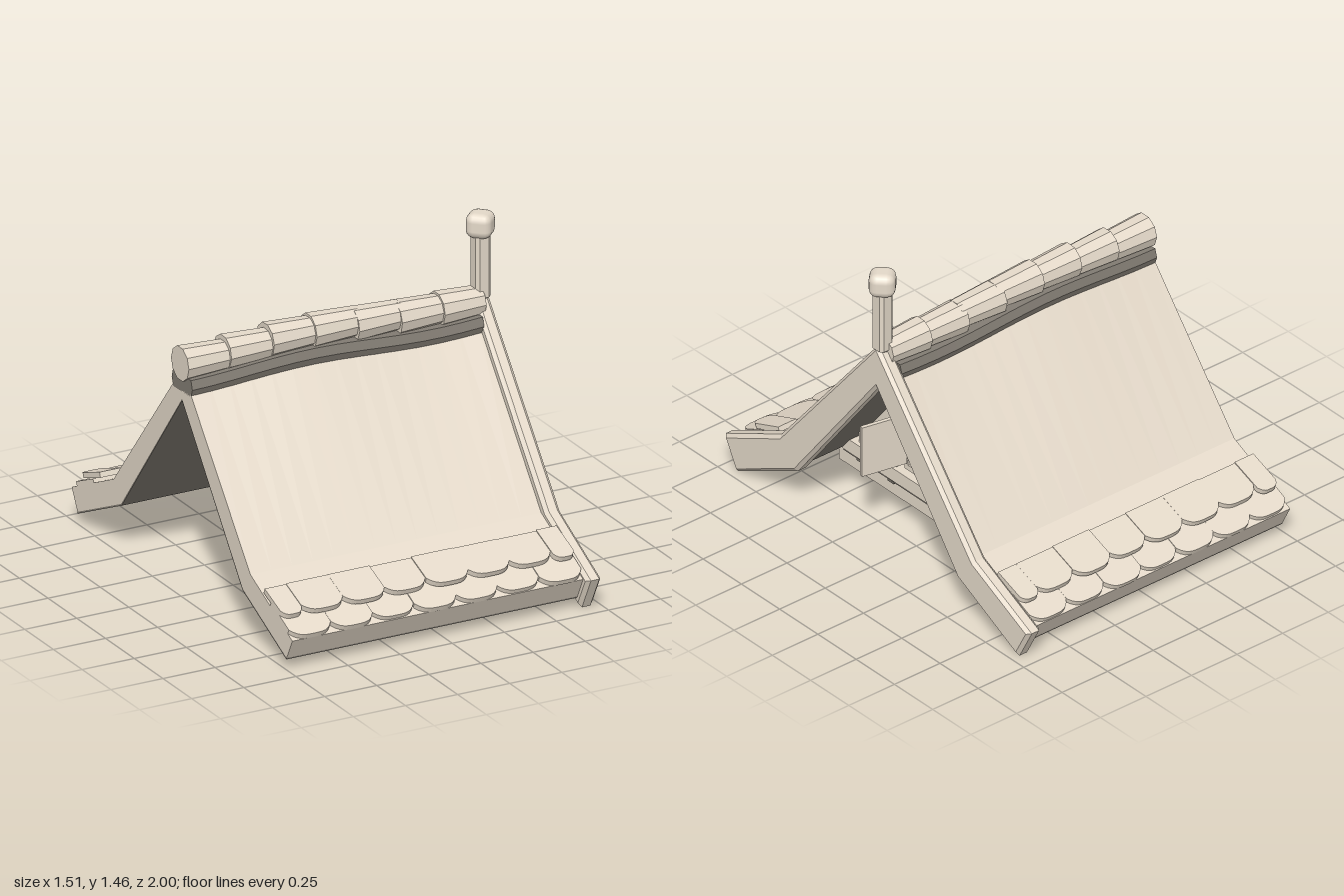
import * as THREE from 'three';
import { RoundedBoxGeometry } from 'three/addons/geometries/RoundedBoxGeometry.js';

const pale = new THREE.MeshStandardMaterial({ color: 0xe4d9c9 });
pale.name = 'paleWood';
const dark = new THREE.MeshStandardMaterial({ color: 0x827c73 });
dark.name = 'darkWood';

const X0 = -0.745, X1 = 0.655; // roof ends
const wave = (x) => 0.014 * Math.cos((x + 0.17) * 5.2); // gentle sag of the ridge

export function createModel() {
  const root = new THREE.Group();
  root.name = 'gabledRoof';

  const add = (name, geo, parent = root, material = pale) => {
    const mesh = new THREE.Mesh(geo, material);
    mesh.name = name;
    parent.add(mesh);
    return mesh;
  };
  const group = (name) => {
    const g = new THREE.Group();
    g.name = name;
    root.add(g);
    return g;
  };
  // box given by its extents
  const box = (name, x0, x1, y0, y1, z0, z1, parent, material) => {
    const geo = new THREE.BoxGeometry(x1 - x0, y1 - y0, z1 - z0);
    geo.translate((x0 + x1) / 2, (y0 + y1) / 2, (z0 + z1) / 2);
    return add(name, geo, parent, material);
  };
  // sections are [z, y] points, extruded along x
  const section = (pts) => new THREE.Shape(pts.map(([z, y]) => new THREE.Vector2(z, y)));
  const alongX = (shape, x0, x1, opts = {}) => {
    const b = opts.bevel || 0;
    const geo = new THREE.ExtrudeGeometry(shape, {
      depth: x1 - x0 - 2 * b, steps: opts.steps || 1, bevelEnabled: b > 0,
      bevelThickness: b, bevelSize: b, bevelOffset: -b, bevelSegments: 1,
    });
    geo.translate(0, 0, x0 + b);
    geo.rotateY(Math.PI / 2);
    return geo;
  };
  // mirrored band between two half profiles
  const chevron = (outer, inner) => {
    const mirror = (half) => half.slice(1).map(([z, y]) => [-z, y]);
    return section([...outer, ...inner.slice().reverse(), ...mirror(inner), ...mirror(outer).reverse()]);
  };
  const sag = (geo, y0, y1) => {
    const p = geo.attributes.position;
    for (let i = 0; i < p.count; i++) {
      const k = THREE.MathUtils.clamp((p.getY(i) - y0) / (y1 - y0), 0, 1);
      p.setY(i, p.getY(i) + wave(p.getX(i)) * k);
    }
    geo.computeVertexNormals();
    return geo;
  };

  // Roof slab with flared eaves, lined with dark boards below
  const top = [[0, 1.05], [0.595, 0.315], [0.96, 0.145]];
  const under = [[0, 0.91], [0.53, 0.225], [0.91, 0.05]];
  const lining = [[0, 0.902], [0.527, 0.218], [0.908, 0.043]];
  add('roofSlab', sag(alongX(chevron(top, under), X0, X1, { steps: 14 }), 0.3, 1));
  add('roofLining', sag(alongX(chevron(under, lining), X0, X1, { steps: 14 }), 0.3, 1), root, dark);

  // Gable frame and its finial
  const frame = chevron(
    [[0, 1.1], [0.635, 0.33], [1.0, 0.15]],
    [[0, 0.885], [0.525, 0.2], [0.92, 0.0]]);
  add('gableFrame', alongX(frame, 0.65, 0.722, { bevel: 0.016 }));

  const finial = group('finial');
  finial.position.set(0.686, 0, 0);
  const post = new THREE.Shape();
  const c = 0.036, e = 0.022;
  [[c, -e], [c, e], [e, c], [-e, c], [-c, e], [-c, -e], [-e, -c], [e, -c]]
    .forEach(([x, y], i) => (i ? post.lineTo(x, y) : post.moveTo(x, y)));
  const postGeo = new THREE.ExtrudeGeometry(post, { depth: 0.3, bevelEnabled: false });
  postGeo.rotateX(-Math.PI / 2);
  postGeo.translate(0, 1.08, 0);
  add('finialPost', postGeo, finial);
  const tip = new THREE.CylinderGeometry(0.037, 0.004, 0.04, 8);
  tip.translate(0, 1.06, 0);
  add('finialTip', tip, finial);
  const knob = add('finialKnob', new RoundedBoxGeometry(0.114, 0.112, 0.114, 2, 0.037), finial);
  knob.position.y = 1.406;
  knob.rotation.y = Math.PI / 4;

  // Dark ridge beam and overlapping ridge tiles
  const beam = section([[0.078, 1.022], [-0.078, 1.022], [-0.09, 0.982], [-0.076, 0.943], [0.076, 0.943], [0.09, 0.982]]);
  add('ridgeBeam', sag(alongX(beam, X0, X1, { steps: 14 }), 0, 0.5), root, dark);
  const ridge = group('ridgeTiles');
  for (let i = 0; i < 7; i++) {
    const len = i < 6 ? 0.225 : 0.205;
    const geo = new THREE.CylinderGeometry(0.078, 0.066, len, 10).toNonIndexed();
    geo.computeVertexNormals();
    geo.rotateZ(Math.PI / 2);
    const x = -0.755 + i * 0.205 + len / 2;
    const tile = add('ridgeTile', geo, ridge);
    tile.position.set(x, 1.073 + wave(x - 0.05), 0);
    tile.rotation.x = 0.08 * Math.sin(i * 2.1);
  }

  // Scalloped eave tiles, two rows on each side
  const scallop = (w, len, dip) => {
    const s = new THREE.Shape();
    s.moveTo(-w / 2, 0);
    s.lineTo(-w / 2, len - dip);
    s.bezierCurveTo(-w * 0.36, len + dip * 0.05, -w * 0.2, len, 0, len);
    s.bezierCurveTo(w * 0.2, len, w * 0.36, len + dip * 0.05, w / 2, len - dip);
    s.lineTo(w / 2, 0);
    return new THREE.ExtrudeGeometry(s, { depth: 0.024, bevelEnabled: false, curveSegments: 6 });
  };
  const rows = [
    { name: 'upperEaveTile', start: -0.843, z: 0.71, y: 0.276, len: 0.183, tilt: 0.36 },
    { name: 'lowerEaveTile', start: -0.745, z: 0.765, y: 0.231, len: 0.213, tilt: 0.42 },
  ];
  for (const side of [1, -1]) {
    const eave = group(side > 0 ? 'frontEaveTiles' : 'backEaveTiles');
    for (const r of rows) {
      for (let i = 0; i < 8; i++) {
        const a = Math.max(r.start + i * 0.2, X0);
        const b = Math.min(r.start + (i + 1) * 0.2, X1);
        if (b - a < 0.03) continue;
        const jitter = Math.sin(i * 2.3 + side + r.z * 40);
        const geo = scallop(b - a, r.len + jitter * 0.006, 0.045 * Math.min(1, (b - a) / 0.15));
        const tile = add(r.name, geo, eave);
        // tile length runs outward and down, thickness points up
        const basis = new THREE.Matrix4().makeBasis(
          new THREE.Vector3(-side, 0, 0),
          new THREE.Vector3(0, -Math.sin(r.tilt), side * Math.cos(r.tilt)),
          new THREE.Vector3(0, Math.cos(r.tilt), side * Math.sin(r.tilt)));
        tile.quaternion.setFromRotationMatrix(basis);
        tile.position.set((a + b) / 2, r.y + jitter * 0.003, side * r.z);
      }
    }
  }

  // Recessed gable wall with sill, tie beam and posts
  const wall = group('gableWall');
  add('wallPanel', alongX(section([[0, 0.93], [-0.54, 0.2], [0.54, 0.2]]), 0.37, 0.4), wall);
  box('tieBeam', 0.33, 0.43, 0.115, 0.198, -0.59, 0.59, wall);
  box('sill', 0.38, 0.46, 0.208, 0.272, -0.53, 0.53, wall);
  box('sillShadowGap', 0.38, 0.455, 0.198, 0.208, -0.53, 0.53, wall, dark);
  for (const s of [1, -1]) {
    for (const [z, top] of [[0.22, 0.575], [0.425, 0.335]]) {
      box('wallPost', 0.395, 0.44, 0.27, top, s * z - 0.02, s * z + 0.02, wall);
      box('postPeg', 0.431, 0.456, 0.19, 0.2, s * z - 0.02, s * z + 0.02, wall, dark);
    }
  }

  // Window with an open shutter
  const rect = (Type, w, y0, y1) => new Type([[-w, y0], [w, y0], [w, y1], [-w, y1]].map((p) => new THREE.Vector2(...p)));
  const ring = (w, y0, y1, t) => {
    const s = rect(THREE.Shape, w, y0, y1);
    s.holes.push(rect(THREE.Path, w - t, y0 + t, y1 - t));
    return s;
  };
  const win = group('window');
  add('windowFrame', alongX(ring(0.15, 0.292, 0.61, 0.025), 0.395, 0.44), win);
  add('windowPane', alongX(rect(THREE.Shape, 0.122, 0.322, 0.58), 0.395, 0.415), win);
  const shutter = group('shutter');
  shutter.position.set(0.445, 0, 0.13);
  shutter.rotation.y = -0.2;
  box('shutterPanel', 0, 0.215, 0.33, 0.575, -0.006, 0.012, shutter);
  for (const y of [0.35, 0.525]) box('shutterBatten', 0.015, 0.2, y, y + 0.03, 0.012, 0.02, shutter);
  box('shutterHandle', 0.18, 0.195, 0.44, 0.47, 0.012, 0.028, shutter);

  return root;
}
